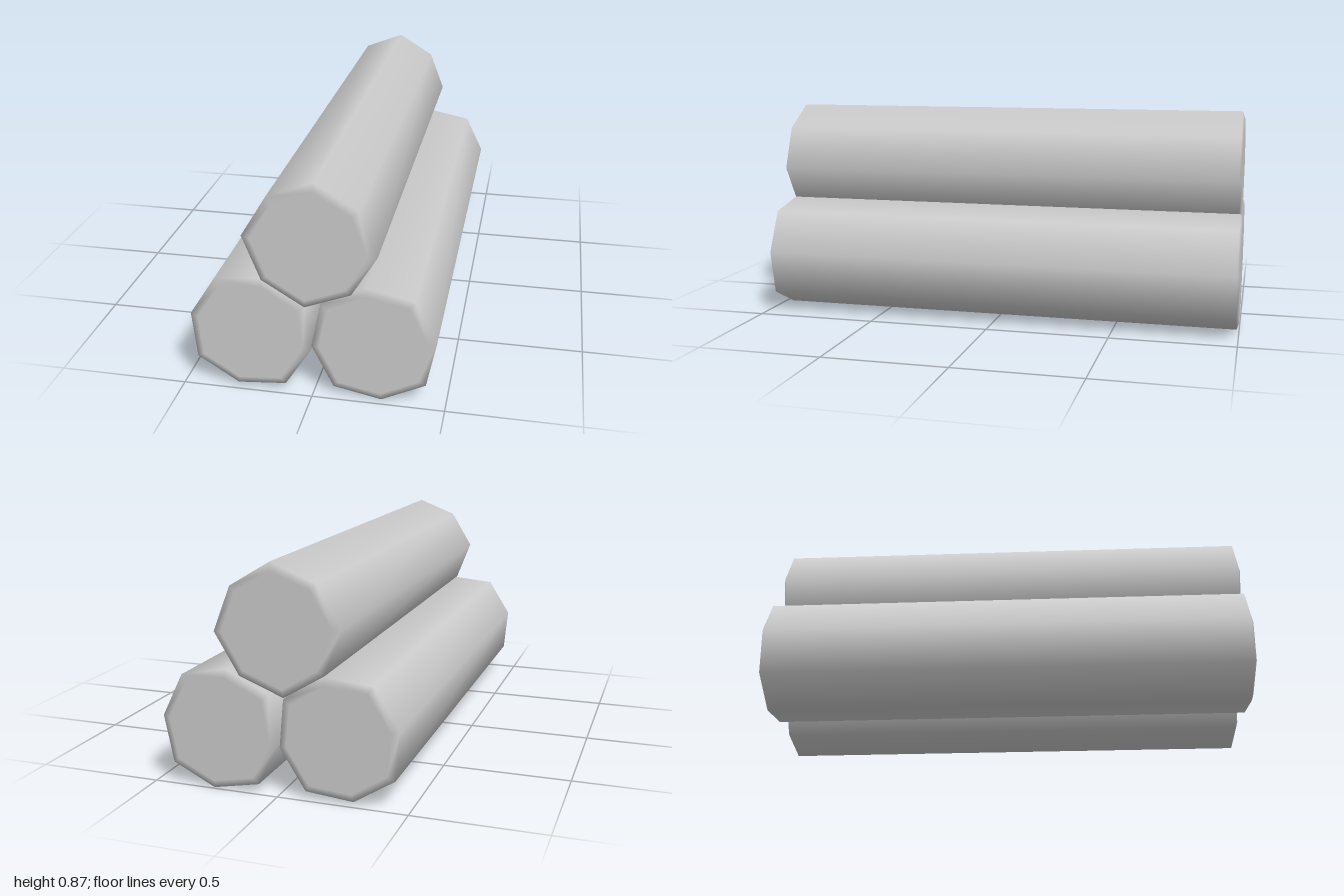
import * as THREE from 'three';

const SIDES = 8;

// Slightly irregular eight-sided log along z, softly bevelled at both ends.
// turn: angle in degrees of one of the longer spokes.
function logGeometry(turn, front, back) {
  const bevel = 0.01, inset = 0.87;
  // rings from front to back: radius scale, z, normal (1 front, 0 radial, -1 back)
  const rings = [
    [0, front, 1], [inset, front, 1], [1, front - bevel, 0],
    [1, back + bevel, 0], [inset, back, -1], [0, back, -1],
  ];
  const positions = [], normals = [], index = [];
  for (const [scale, z, axial] of rings) {
    for (let j = 0; j < SIDES; j++) {
      const a = THREE.MathUtils.degToRad(turn) + (j / SIDES) * Math.PI * 2;
      const r = (j % 2 ? 0.235 : 0.248) * scale;
      positions.push(Math.cos(a) * r, Math.sin(a) * r, z);
      if (axial) normals.push(0, 0, axial);
      else normals.push(Math.cos(a), Math.sin(a), 0);
    }
  }
  for (let k = 0; k < rings.length - 1; k++) {
    for (let j = 0; j < SIDES; j++) {
      const n = (j + 1) % SIDES;
      const a = k * SIDES + j, d = k * SIDES + n;
      const b = a + SIDES, c = d + SIDES;
      if (rings[k + 1][0] > 0) index.push(a, b, c);
      if (rings[k][0] > 0) index.push(a, c, d);
    }
  }
  const geometry = new THREE.BufferGeometry();
  geometry.setAttribute('position', new THREE.Float32BufferAttribute(positions, 3));
  geometry.setAttribute('normal', new THREE.Float32BufferAttribute(normals, 3));
  geometry.setIndex(index);
  return geometry;
}

export function createModel() {
  const group = new THREE.Group();
  group.name = 'logPile';
  const material = new THREE.MeshStandardMaterial({ color: 0xcccccc });

  // name, centre x, centre y, turn, front z, back z
  const logs = [
    ['topLog', -0.002, 0.623, 85, 1, -0.99],
    ['rightLog', -0.235, 0.242, 31.5, 0.988, -0.993],
    ['leftLog', 0.228, 0.233, 52.5, 0.98, -1],
  ];
  for (const [name, x, y, turn, front, back] of logs) {
    const log = new THREE.Mesh(logGeometry(turn, front, back), material);
    log.name = name;
    log.position.set(x, y, 0);
    group.add(log);
  }
  return group;
}
